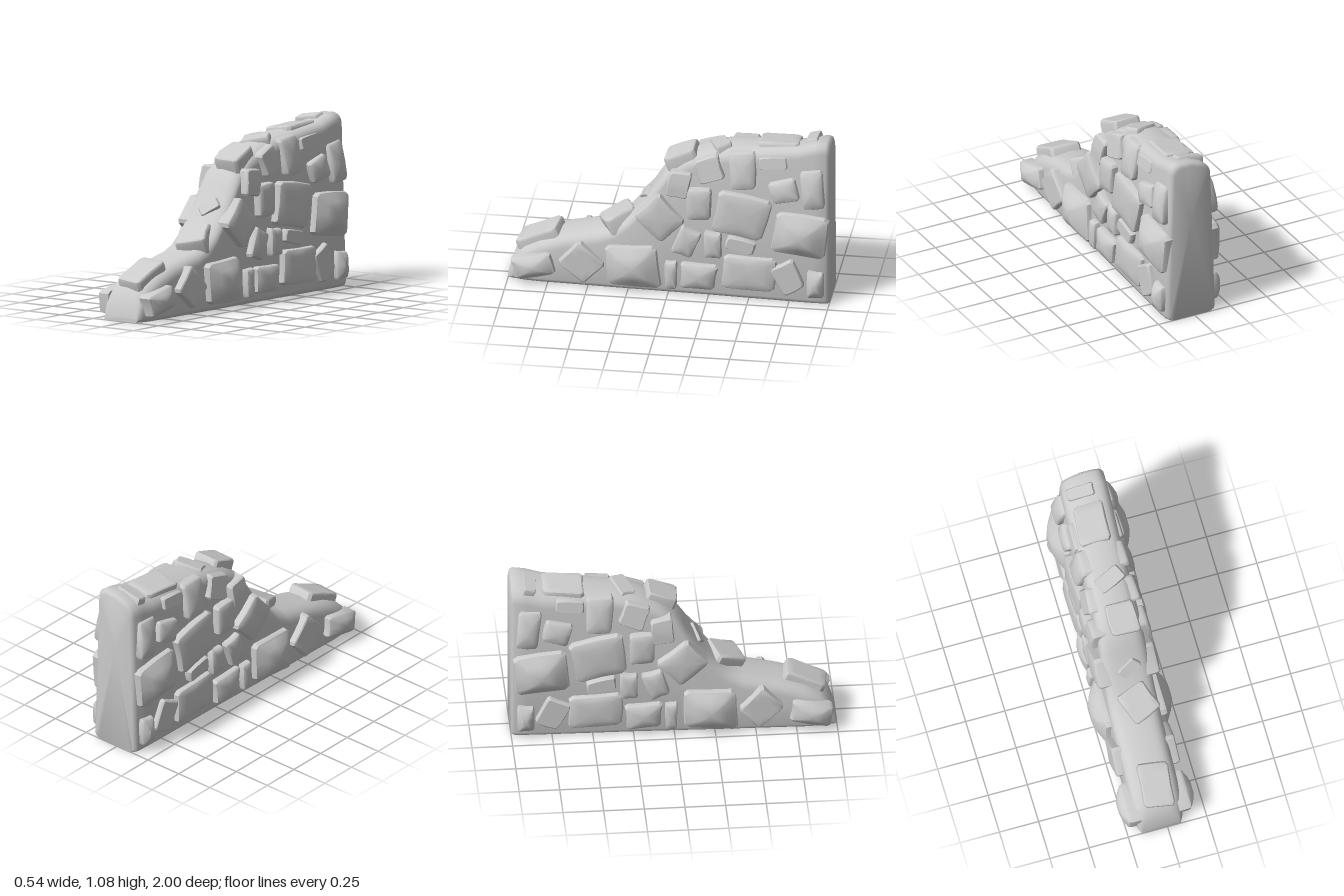
import * as THREE from 'three';
import { toCreasedNormals } from 'three/addons/utils/BufferGeometryUtils.js';

const material = new THREE.MeshStandardMaterial({ color: 0xcccccc });
const LEAN = 0.03; // the walls lean inwards towards the top

// Wall body from back to front: z, height, half width
const STATIONS = [
  [-1, 1.05, 0.148], [-0.993, 1.065, 0.162], [-0.975, 1.072, 0.172], [-0.9, 1.06, 0.175], [-0.8, 1.03, 0.175],
  [-0.4, 1, 0.17], [-0.25, 0.97, 0.168], [-0.1, 0.91, 0.168], [0, 0.84, 0.168], [0.07, 0.74, 0.168],
  [0.15, 0.61, 0.168], [0.25, 0.49, 0.168], [0.33, 0.42, 0.168], [0.42, 0.38, 0.167], [0.65, 0.33, 0.165],
  [0.8, 0.28, 0.165], [0.9, 0.23, 0.158], [0.96, 0.17, 0.145], [1, 0.03, 0.125],
];
const centreX = (z) => -0.01 - 0.03 * z;

// Side stones: z, y, width, height, tilt in degrees, bulge
const SIDE_STONES = [
  [0.84, 0.125, 0.26, 0.13, 12, 0.035], [0.535, 0.175, 0.2, 0.21, 47, 0], [0.22, 0.175, 0.33, 0.26, 2, 0.055],
  [-0.02, 0.14, 0.07, 0.17, 0, 0.01], [-0.19, 0.14, 0.22, 0.17, -3, 0.02], [-0.495, 0.185, 0.32, 0.23, -2, 0.01],
  [-0.745, 0.18, 0.15, 0.2, 27, 0], [-0.915, 0.14, 0.1, 0.17, 0, 0.03], [0.055, 0.51, 0.23, 0.22, -43, 0.01],
  [-0.115, 0.365, 0.13, 0.18, -20, 0.01], [-0.28, 0.36, 0.1, 0.17, 0, 0.01], [-0.45, 0.37, 0.17, 0.08, -12, 0],
  [-0.46, 0.565, 0.31, 0.26, -11, 0.01], [-0.82, 0.465, 0.31, 0.26, -6, 0.055], [-0.195, 0.63, 0.14, 0.19, 0, 0.01],
  [-0.07, 0.75, 0.13, 0.16, -8, 0], [-0.25, 0.86, 0.16, 0.15, 20, 0], [-0.46, 0.875, 0.16, 0.22, 3, 0.015],
  [-0.645, 0.935, 0.17, 0.075, 5, 0], [-0.72, 0.76, 0.16, 0.14, 15, 0.01], [-0.895, 0.79, 0.14, 0.24, 6, 0.015],
];

// Ridge stones: x, y, z, width, length, turn in degrees, forward slope, roll, height
const RIDGE_STONES = [
  [-0.02, 0.245, 0.8, 0.19, 0.27, -4, 0.42, 0, 0.065],
  [0.01, 0.425, 0.31, 0.2, 0.2, 25, 0.45, 0, 0.06],
  [0, 0.61, 0.15, 0.13, 0.08, 40, 1, 0, 0.015],
  [0.02, 0.88, -0.08, 0.18, 0.2, 3, 0.38, 0, 0.055],
  [0.01, 0.965, -0.31, 0.17, 0.1, 22, 0.25, 0.1, 0.03],
  [0, 0.995, -0.67, 0.19, 0.26, -4, 0.04, 0.14, 0.035],
  [-0.01, 1.04, -0.88, 0.17, 0.08, 0, 0.25, 0.16, 0.02],
];

// Small repeatable number source, -1 to 1
function seeded(seed) {
  let s = seed * 7919 + 17;
  return () => {
    s = (s * 16807) % 2147483647;
    return (s / 2147483647) * 2 - 1;
  };
}

// Surface through closed rings of equal length, capped at both ends
function loft(rings, crease) {
  const n = rings[0].length, pos = rings.flat(2), index = [];
  for (let i = 0; i < rings.length - 1; i++) {
    for (let j = 0; j < n; j++) {
      const a = i * n + j, b = i * n + (j + 1) % n;
      index.push(a, b, b + n, a, b + n, a + n);
    }
  }
  [0, rings.length - 1].forEach((r, end) => {
    const c = pos.length / 3;
    for (let k = 0; k < 3; k++) pos.push(rings[r].reduce((s, p) => s + p[k], 0) / n);
    for (let j = 0; j < n; j++) {
      const a = r * n + j, b = r * n + (j + 1) % n;
      if (end) index.push(c, a, b); else index.push(c, b, a);
    }
  });
  const geo = new THREE.BufferGeometry();
  geo.setAttribute('position', new THREE.Float32BufferAttribute(pos, 3));
  geo.setIndex(index);
  return toCreasedNormals(geo, crease);
}

// Cross-section of the wall: straight sides and a rounded top, which rolls sideways near the back
function wallRing([z, h, w]) {
  const r = Math.min(0.085, h * 0.45), top = w - LEAN * h;
  const half = [[w - 0.025, 0], [w - 0.006, Math.min(0.012, h * 0.1)], [w, Math.min(0.03, h * 0.2)], [w - LEAN * h * 0.5, h * 0.5]];
  for (let k = 0; k <= 5; k++) {
    const t = (k / 5) * Math.PI / 2;
    half.push([top - r + r * Math.cos(t), h - r + r * 0.9 * Math.sin(t)]);
  }
  const left = half.map(([x, y]) => [-x, y]).reverse();
  const roll = 0.2 * THREE.MathUtils.smoothstep(-z, 0.4, 0.9);
  return [...half, [0, h], ...left].map(([x, y]) => [x + centreX(z), y > 0.7 ? y + roll * x : y, z]);
}

// Uneven four-cornered stone facing +z: sunk base, upright sides, bevelled rim, domed face
function stoneGeometry({ x = 0, y = 0, width, height, tilt, depth, dome = 0, base, inset = () => 0, seed }) {
  const random = seeded(seed), centre = new THREE.Vector2(x, y);
  const corners = [[-1, -1], [1, -1], [1, 1], [-1, 1]].map(([u, v]) => new THREE.Vector2(
    u * width * (0.5 + 0.05 * random()), v * height * (0.5 + 0.05 * random()),
  ).rotateAround(new THREE.Vector2(), THREE.MathUtils.degToRad(tilt)));
  const edge = corners.flatMap((p, i) => {
    const prev = corners[(i + 3) % 4], next = corners[(i + 1) % 4];
    const middle = p.clone().lerp(next, 0.5).multiplyScalar(1 + 0.06 * random());
    return [p.clone().lerp(prev, 0.08), p.clone().lerp(next, 0.08), middle];
  });
  const levels = [
    [1.02, base], [1.02, depth - 0.022], [0.98, depth - 0.006], [0.91, depth],
    [0.6, depth + dome * 0.6], [0.3, depth + dome * 0.95],
  ];
  return loft(levels.map(([scale, d]) => edge.map((p) => {
    const q = p.clone().multiplyScalar(scale).add(centre);
    return [q.x, q.y, d - inset(q.y)];
  })), 0.6);
}

export function createModel() {
  const model = new THREE.Group();
  model.name = 'stoneWall';
  const add = (parent, geometry, name) => {
    const mesh = new THREE.Mesh(geometry, material);
    mesh.name = name;
    parent.add(mesh);
    return mesh;
  };

  // Sloping wall body
  add(model, loft(STATIONS.map(wallRing), 0.9), 'wallBody');

  // Stones set into both faces, tipping inwards near the ridge
  for (const side of [1, -1]) {
    const face = new THREE.Group();
    face.name = side > 0 ? 'leftStones' : 'rightStones';
    SIDE_STONES.forEach(([z, y, width, height, tilt, dome], i) => {
      const mesh = add(face, stoneGeometry({
        x: -side * z, y, width, height, tilt: side * tilt, dome,
        depth: 0.205 + 0.015 * y, base: 0.125, seed: i + 1,
        inset: (v) => LEAN * v + 0.18 * Math.max(0, v - 0.75),
      }), 'sideStone');
      mesh.rotation.y = side * Math.PI / 2;
      mesh.position.x = centreX(z);
    });
    model.add(face);
  }

  // Stones lying along the ridge
  const ridge = new THREE.Group();
  ridge.name = 'ridgeStones';
  RIDGE_STONES.forEach(([x, y, z, width, length, tilt, slope, roll, depth], i) => {
    const mesh = add(ridge, stoneGeometry({
      width, height: length, tilt, depth, base: -0.05, seed: i + 40,
    }), 'ridgeStone');
    mesh.position.set(x, y, z);
    mesh.rotation.set(-Math.PI / 2 + slope, -roll, 0);
  });
  model.add(ridge);
  return model;
}
